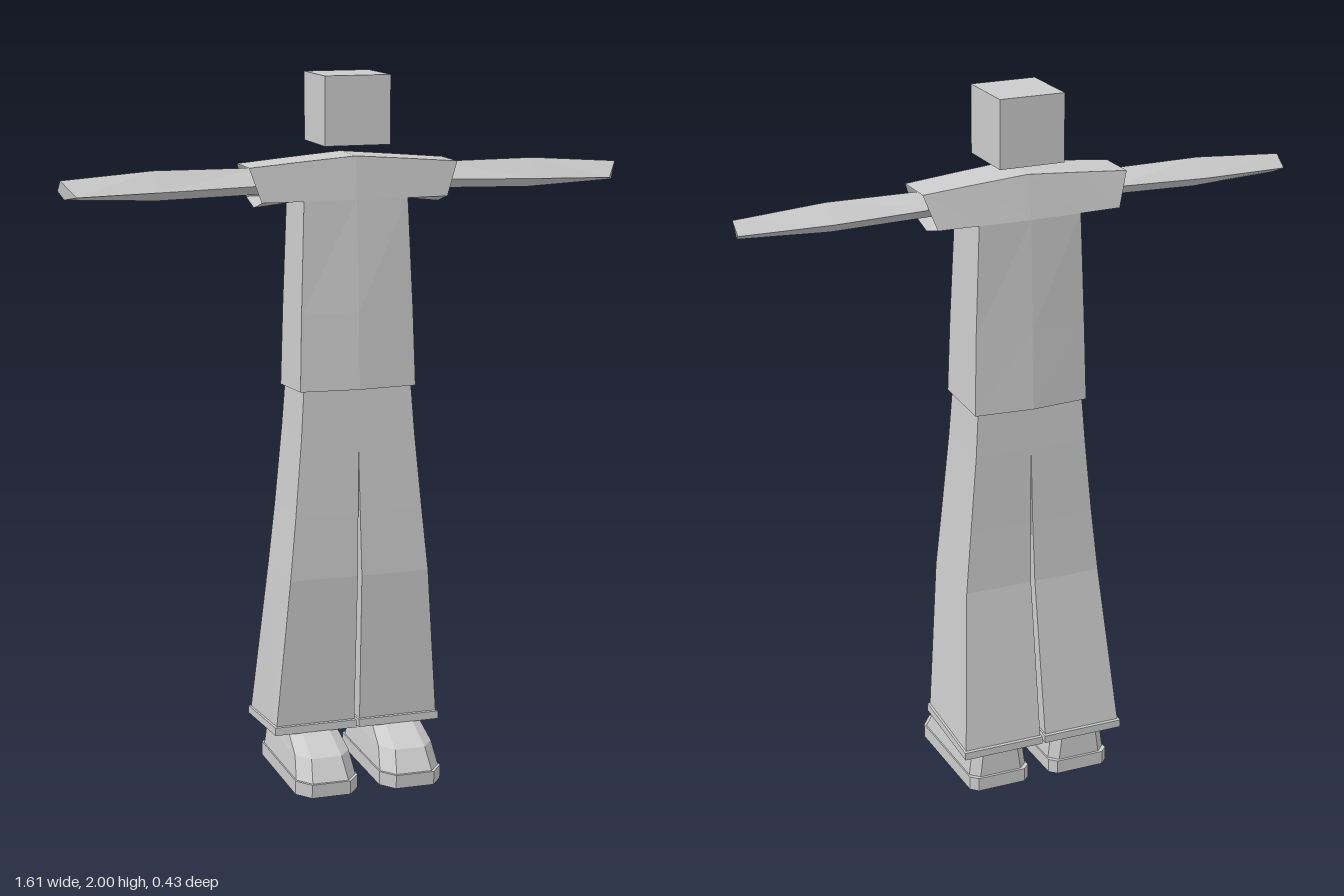
import * as THREE from 'three';

const material = new THREE.MeshStandardMaterial({ color: 0xcccccc, flatShading: true, side: THREE.DoubleSide });

// Faceted skin through matching closed rings of [x, y, z] points; side -1 mirrors it in x.
function loft(name, rings, { side = 1, capStart = false, capEnd = false } = {}) {
  const pos = [];
  const tri = (a, b, c) => {
    for (const p of side < 0 ? [a, c, b] : [a, b, c]) pos.push(p[0] * side, p[1], p[2]);
  };
  const n = rings[0].length;
  for (let i = 0; i < rings.length - 1; i++) {
    const a = rings[i], b = rings[i + 1];
    for (let j = 0; j < n; j++) {
      const k = (j + 1) % n;
      tri(a[j], a[k], b[k]);
      tri(a[j], b[k], b[j]);
    }
  }
  const first = rings[0], last = rings[rings.length - 1];
  for (let j = 1; j < n - 1; j++) {
    if (capStart) tri(first[0], first[j + 1], first[j]);
    if (capEnd) tri(last[0], last[j], last[j + 1]);
  }
  const geometry = new THREE.BufferGeometry();
  geometry.setAttribute('position', new THREE.Float32BufferAttribute(pos, 3));
  geometry.computeVertexNormals();
  const mesh = new THREE.Mesh(geometry, material);
  mesh.name = name;
  return mesh;
}

// Four-cornered horizontal ring; front and back may sit at different heights.
const rect = (x0, x1, zf, zb, yf, yb = yf) => [[x1, yf, zf], [x1, yb, zb], [x0, yb, zb], [x0, yf, zf]];

// Torso ring with a slight fold down the middle of the chest and the back.
const torsoRing = (w, zf, zb, bulge, yf, yb) => [
  [w, yf, zf], [w, yb, zb], [0, yb, zb - bulge], [-w, yb, zb], [-w, yf, zf], [0, yf, zf + bulge]];

// Horizontal shoe ring with cut toe and heel corners.
const shoeRing = (x0, x1, zf, zb, toe, heel, yf, yb = yf) => [
  [x1, yf, zf - toe * 1.3], [x1, yb, zb + heel], [x1 - heel, yb, zb], [x0 + heel, yb, zb],
  [x0, yb, zb + heel], [x0, yf, zf - toe * 1.3], [x0 + toe, yf, zf], [x1 - toe, yf, zf]];

// Five-sided yoke section across x; the lower points may be set further in.
const yokeRing = (x, xLow, top, low, bottom, zf, zb) => [
  [x, top, zb + 0.025], [x, top, zf - 0.01], [xLow, low, zf], [xLow, bottom, -0.03], [xLow, low, zb]];

// Diamond arm section.
const armRing = (x, xFront, top, front, bottom, zf, zb) => [
  [x, top, -0.025], [xFront, front, zf], [x - 0.01, bottom, -0.025], [x, front + 0.01, zb]];

export function createModel() {
  const model = new THREE.Group();
  model.name = 'figure';

  const head = new THREE.Mesh(new THREE.BoxGeometry(0.188, 0.19, 0.192), material);
  head.name = 'head';
  head.position.set(0, 1.905, -0.027);
  model.add(head);

  // Shirt: body plus a tube across the shoulders that opens at both sleeves
  const shirt = new THREE.Group();
  shirt.name = 'shirt';
  shirt.add(loft('shirtBody', [
    torsoRing(0.168, 0.075, -0.12, 0.014, 1.135, 1.122),
    torsoRing(0.162, 0.068, -0.115, 0.012, 1.35, 1.35),
    torsoRing(0.15, 0.056, -0.112, 0.006, 1.66, 1.66),
  ]));
  shirt.add(loft('shirtShoulders', [
    yokeRing(-0.3, -0.268, 1.755, 1.66, 1.638, 0.05, -0.11),
    yokeRing(-0.15, -0.15, 1.768, 1.66, 1.65, 0.056, -0.114),
    yokeRing(0, 0, 1.78, 1.66, 1.65, 0.062, -0.118),
    yokeRing(0.15, 0.15, 1.768, 1.66, 1.65, 0.056, -0.114),
    yokeRing(0.3, 0.268, 1.755, 1.66, 1.638, 0.05, -0.11),
  ]));
  model.add(shirt);

  model.add(loft('trouserTop', [
    rect(-0.166, 0.166, 0.075, -0.12, 1.0),
    rect(-0.155, 0.155, 0.068, -0.113, 1.16),
  ]));

  for (const side of [1, -1]) {
    const label = side > 0 ? 'left' : 'right';

    model.add(loft(label + 'Arm', [
      armRing(0.25, 0.25, 1.748, 1.703, 1.675, 0.02, -0.085),
      armRing(0.55, 0.55, 1.75, 1.695, 1.668, 0.021, -0.087),
      armRing(0.805, 0.77, 1.732, 1.69, 1.68, 0.02, -0.066),
    ], { side, capStart: true, capEnd: true }));

    // Flared trouser leg, split from its twin below the crotch
    model.add(loft(label + 'TrouserLeg', [
      rect(0.008, 0.24, 0.063, -0.207, 0.16, 0.135),
      rect(0.006, 0.204, 0.09, -0.135, 0.6),
      rect(0.003, 0.186, 0.084, -0.126, 0.78),
      rect(0, 0.166, 0.075, -0.12, 1.0),
    ], { side }));

    // Cuff band: outer wall with a narrow top lip
    model.add(loft(label + 'Cuff', [
      rect(0.012, 0.236, 0.06, -0.203, 0.143, 0.12),
      rect(0.004, 0.245, 0.07, -0.214, 0.143, 0.12),
      rect(0.004, 0.245, 0.07, -0.214, 0.166, 0.142),
      rect(0.008, 0.238, 0.062, -0.205, 0.168, 0.144),
    ], { side }));

    // Shoe: flat sole and a sloping upper that rises into the cuff
    const shoe = new THREE.Group();
    shoe.name = label + 'Shoe';
    shoe.add(loft('sole', [
      shoeRing(0.033, 0.216, 0.214, -0.196, 0.035, 0.02, 0),
      shoeRing(0.033, 0.216, 0.216, -0.196, 0.035, 0.02, 0.04),
    ], { side, capStart: true, capEnd: true }));
    shoe.add(loft('upper', [
      shoeRing(0.037, 0.212, 0.208, -0.188, 0.035, 0.025, 0.04),
      shoeRing(0.045, 0.204, 0.17, -0.186, 0.035, 0.025, 0.1),
      shoeRing(0.055, 0.196, 0.065, -0.184, 0.03, 0.025, 0.146, 0.135),
    ], { side, capEnd: true }));
    model.add(shoe);
  }
  return model;
}
